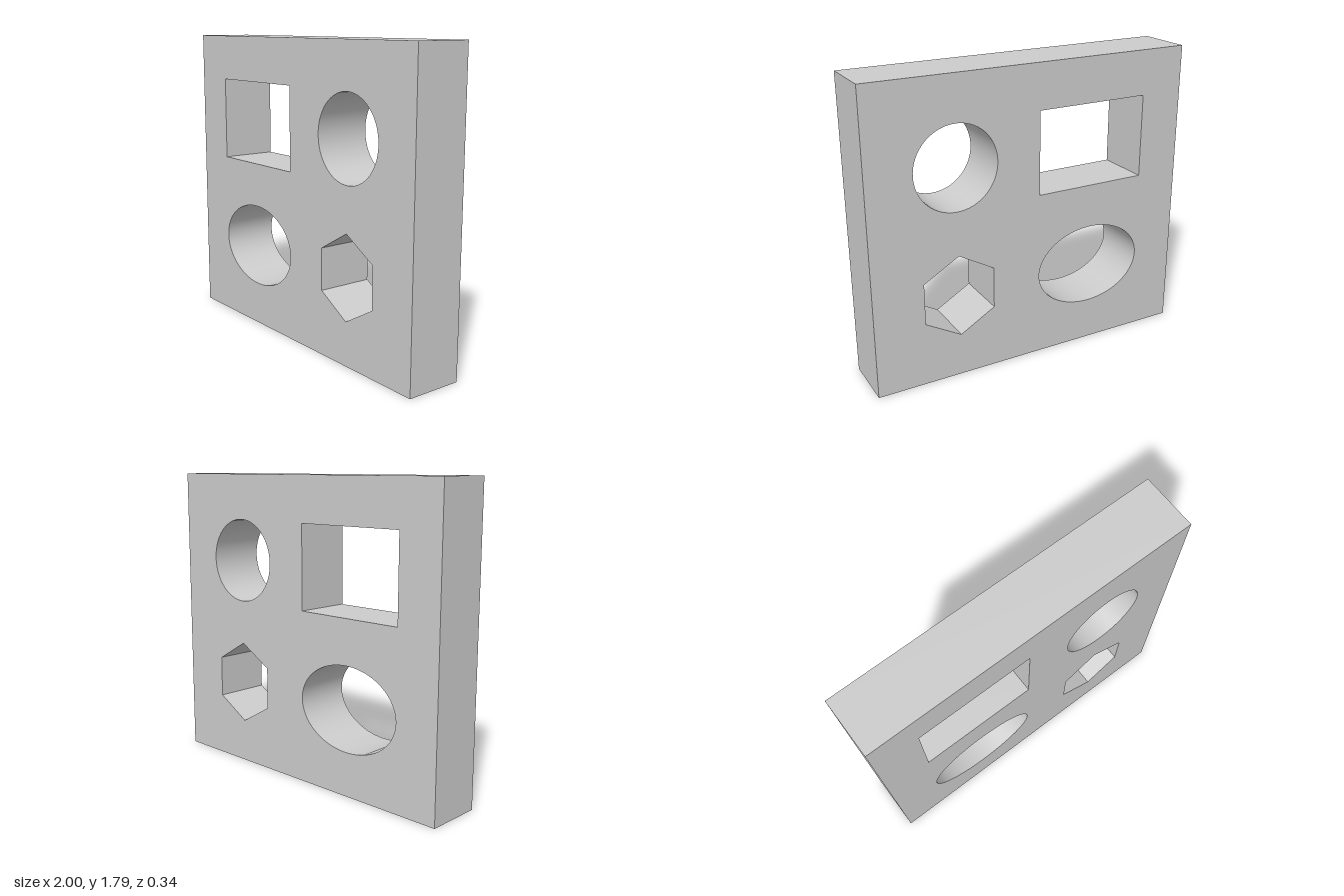
import * as THREE from 'three';
import { toCreasedNormals } from 'three/addons/utils/BufferGeometryUtils.js';

const WIDTH = 2, HEIGHT = 1.79, DEPTH = 0.34;
const LEFT_X = -0.384, RIGHT_X = 0.482; // hole columns
const TOP_Y = 1.272, LOW_Y = 0.509;     // hole rows
const RX = 0.349, RY = 0.249;           // hole half sizes

const polygon = (Type, points) => new Type(points.map(([x, y]) => new THREE.Vector2(x, y)));

const rectangle = (Type, x, y, rx, ry) =>
  polygon(Type, [[x - rx, y - ry], [x + rx, y - ry], [x + rx, y + ry], [x - rx, y + ry]]);

// Regular outline stretched to rx by ry, first corner at the top
function roundHole(x, y, rx, ry, sides) {
  const points = [];
  for (let i = 0; i < sides; i++) {
    const a = Math.PI / 2 + (i / sides) * Math.PI * 2;
    points.push([x + rx * Math.cos(a), y + ry * Math.sin(a)]);
  }
  return polygon(THREE.Path, points);
}

export function createModel() {
  const group = new THREE.Group();
  group.name = 'shapeBoard';

  // Slab outline with four holes cut straight through
  const outline = rectangle(THREE.Shape, 0, HEIGHT / 2, WIDTH / 2, HEIGHT / 2);
  outline.holes.push(
    rectangle(THREE.Path, LEFT_X, TOP_Y, RX, RY),
    roundHole(RIGHT_X, TOP_Y, RY, RY, 96),
    roundHole(LEFT_X, LOW_Y, RX, RY, 96),
    roundHole(RIGHT_X, LOW_Y, RY, RY, 6),
  );

  const slab = new THREE.ExtrudeGeometry(outline, { depth: DEPTH, bevelEnabled: false });
  slab.translate(0, 0, -DEPTH / 2);

  // Smooth round walls, sharp corners
  const board = new THREE.Mesh(
    toCreasedNormals(slab, Math.PI / 6),
    new THREE.MeshStandardMaterial({ color: 0xcccccc }),
  );
  board.name = 'board';
  group.add(board);
  return group;
}
